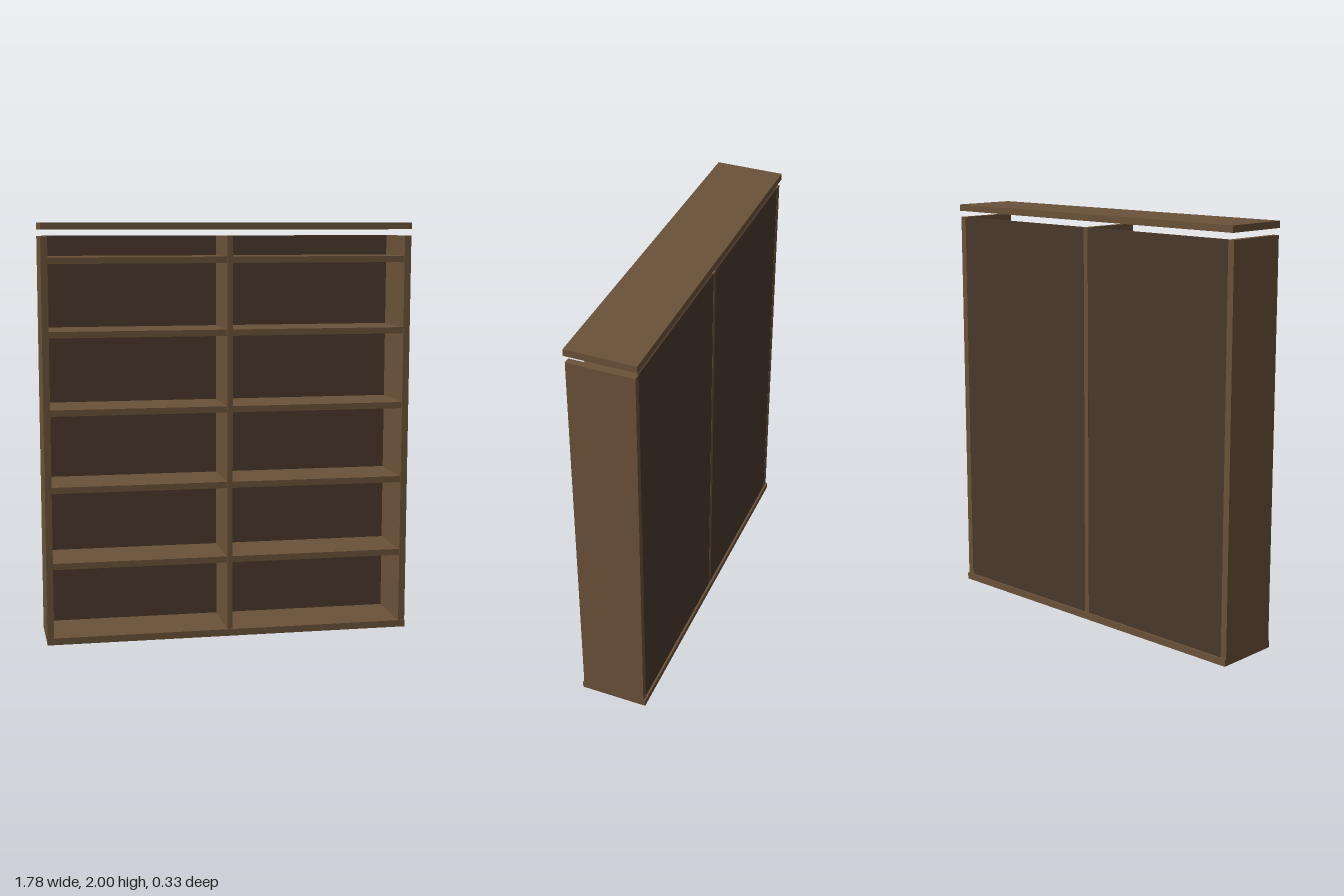
import * as THREE from 'three';

export function createModel() {
  const group = new THREE.Group();
  group.name = 'bookcase';

  const wood = new THREE.MeshStandardMaterial({ color: 0x6b5239 });
  wood.name = 'brown wood';
  const darkWood = new THREE.MeshStandardMaterial({ color: 0x4a392c });
  darkWood.name = 'dark brown wood';

  // Box given by its extents along each axis
  const board = (name, [x0, x1], [y0, y1], [z0, z1], material = wood) => {
    const mesh = new THREE.Mesh(new THREE.BoxGeometry(x1 - x0, y1 - y0, z1 - z0), material);
    mesh.position.set((x0 + x1) / 2, (y0 + y1) / 2, (z0 + z1) / 2);
    mesh.name = name;
    group.add(mesh);
  };

  const halfWidth = 0.888;
  const inner = 0.856;      // inside face of the side panels
  const mid = 0.013;        // half thickness of the divider
  const upright = [0.033, 1.937];
  const depth = [-0.156, 0.158];

  // Base and raised top, a little deeper than the uprights
  board('base', [-halfWidth, halfWidth], [0, 0.033], [-0.165, 0.165]);
  board('top', [-halfWidth, halfWidth], [1.968, 2], [-0.165, 0.165]);

  // Side panels and central divider
  board('leftSide', [inner, halfWidth], upright, depth);
  board('rightSide', [-halfWidth, -inner], upright, depth);
  board('divider', [-mid, mid], upright, depth);

  // Back panels and shelves in each bay
  const shelfHeights = [0.379, 0.747, 1.115, 1.482, 1.826];
  for (const [side, bay] of [['left', [mid, inner]], ['right', [-inner, -mid]]]) {
    board(side + 'BackPanel', bay, upright, [-0.155, -0.145], darkWood);
    shelfHeights.forEach((y, i) =>
      board(`${side}Shelf${i + 1}`, bay, [y - 0.015, y + 0.015], [-0.145, 0.15]));
  }

  return group;
}
